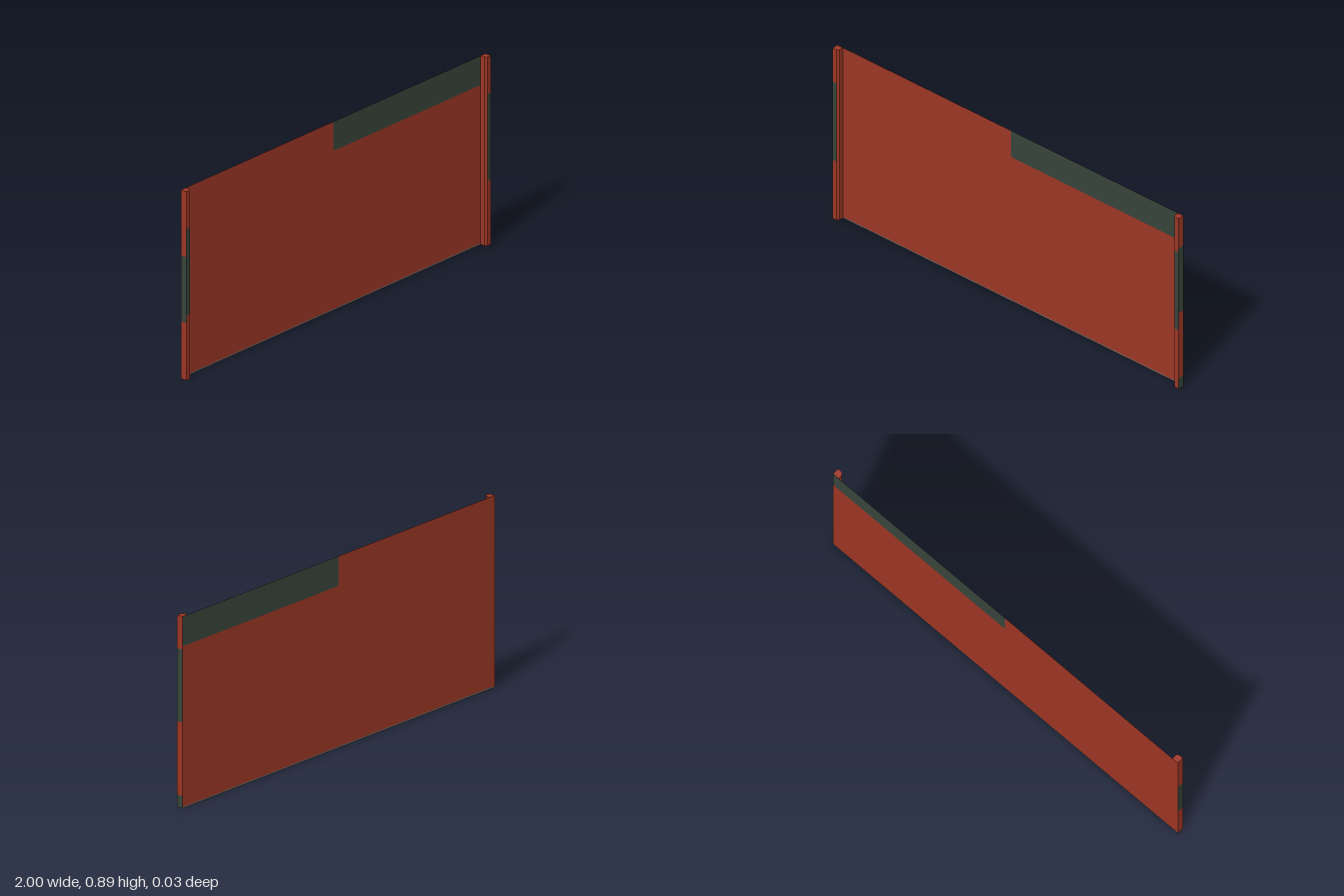
import * as THREE from 'three';

const HEIGHT = 0.888, BACK = -0.016, FRONT = 0.016;

const flat = (name, color) => {
  const m = new THREE.MeshStandardMaterial({ color, side: THREE.DoubleSide });
  m.name = name;
  return m;
};

export function createModel() {
  const red = flat('brick red', 0x9c3625);
  const green = flat('dark green', 0x36443a);
  const grey = flat('edge grey', 0x6b6462);
  const model = new THREE.Group();
  model.name = 'sideBoard';

  const add = (parent, name, geometry, material) => {
    const mesh = new THREE.Mesh(geometry, material);
    mesh.name = name;
    parent.add(mesh);
    return mesh;
  };
  const polygon = (points) =>
    new THREE.ShapeGeometry(new THREE.Shape(points.map(([x, y]) => new THREE.Vector2(x, y))));

  // Thin sheet along the back, split into its painted areas
  const sheet = new THREE.Group();
  sheet.name = 'sheet';
  sheet.position.z = BACK;
  model.add(sheet);
  const bandY = 0.75, bandX = 0.003, cut = 0.007, edgeY = 0.007;
  const bandEdge = [[bandX, HEIGHT], [bandX, bandY + cut], [bandX + cut, bandY], [1, bandY]];
  add(sheet, 'upperBand', polygon([...bandEdge, [1, HEIGHT]]), green);
  add(sheet, 'mainPanel', polygon([[-1, HEIGHT], [-1, edgeY], [1, edgeY], ...[...bandEdge].reverse()]), red);
  add(sheet, 'bottomEdge', polygon([[-1, 0], [1, 0], [1, edgeY], [-1, edgeY]]), grey);

  // Corner posts with a bevelled inner front edge; the sheet closes their backs
  const section = [[1, BACK], [1, FRONT], [0.977, FRONT], [0.968, 0.007], [0.968, BACK]];
  const frontBands = [[0, 0.305, red], [0.305, 0.713, green], [0.713, HEIGHT, red]];
  const plain = [[0, HEIGHT, red]];
  const outerBands = {
    '1': [[0, 0.056, green], [0.056, 0.396, red], [0.396, 0.735, green], [0.735, HEIGHT, red]],
    '-1': [[0, 0.27, red], [0.27, 0.58, green], [0.58, HEIGHT, red]],
  };

  for (const side of [1, -1]) {
    const post = new THREE.Group();
    post.name = side > 0 ? 'leftPost' : 'rightPost';
    model.add(post);

    const walls = [['outer', outerBands[side]], ['front', frontBands], ['bevel', plain], ['inner', plain]];
    walls.forEach(([name, bands], i) => {
      const [x0, z0] = section[i], [x1, z1] = section[i + 1];
      const dx = x1 - x0, dz = z1 - z0;
      for (const [y0, y1, material] of bands) {
        const face = add(post, name + 'Face', new THREE.PlaneGeometry(Math.hypot(dx, dz), y1 - y0), material);
        face.position.set(side * (x0 + x1) / 2, (y0 + y1) / 2, (z0 + z1) / 2);
        face.rotation.y = Math.atan2(side * dz, -dx);
      }
    });

    // Top and bottom caps
    for (const [name, y, turn] of [['topCap', HEIGHT, -1], ['bottomCap', 0, 1]]) {
      const cap = add(post, name, polygon(section.map(([x, z]) => [side * x, turn * z])), red);
      cap.rotation.x = turn * Math.PI / 2;
      cap.position.y = y;
    }
  }
  return model;
}
